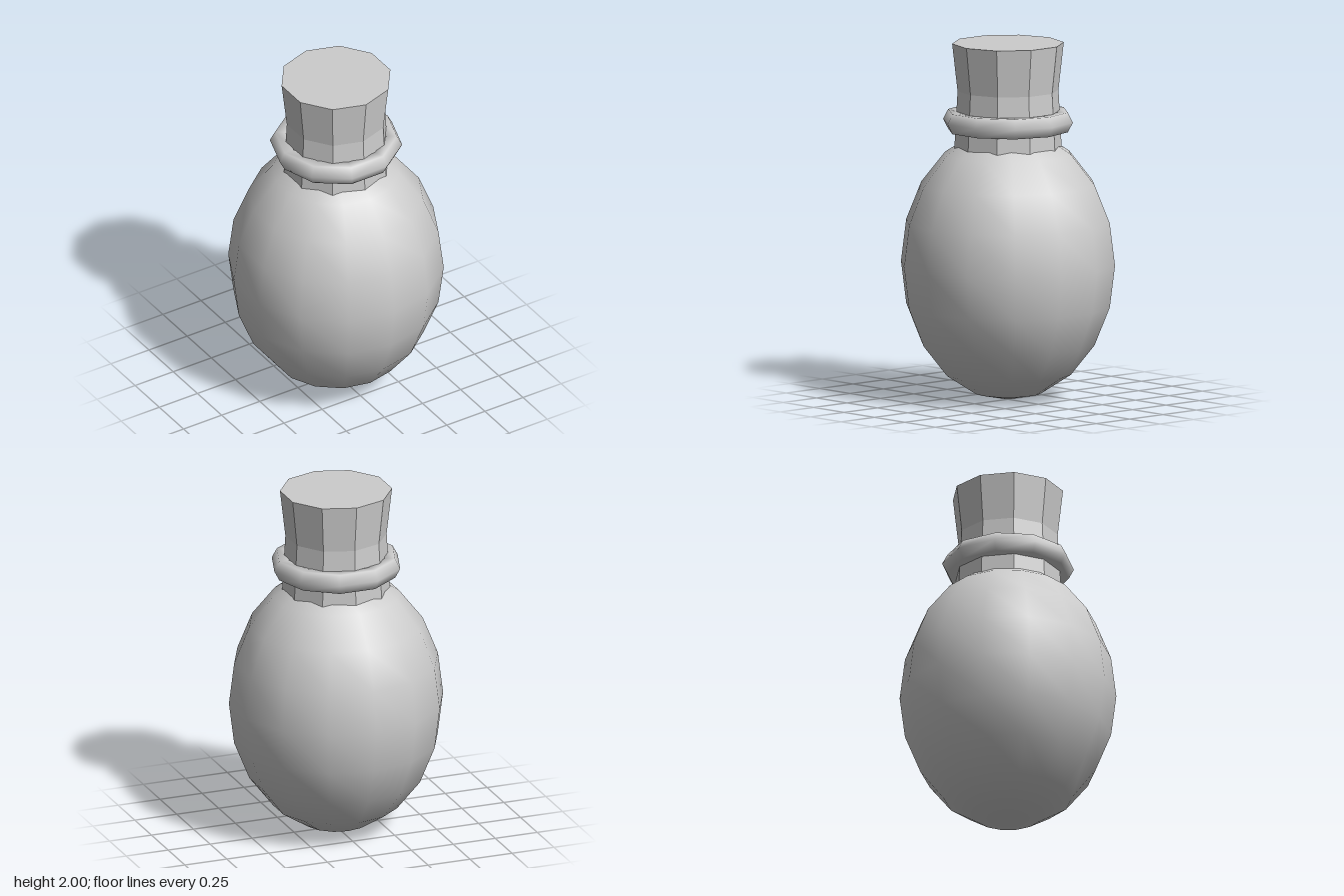
import * as THREE from 'three';

export function createModel() {
  const model = new THREE.Group();
  const grey = new THREE.MeshStandardMaterial({ name: 'plain grey', color: 0xcccccc });
  const flatGrey = grey.clone();
  flatGrey.flatShading = true;

  const add = (name, geometry, material) => {
    const mesh = new THREE.Mesh(geometry, material);
    mesh.name = name;
    model.add(mesh);
    return mesh;
  };

  // Egg-shaped bulb, with corners on the z axis
  const bulb = new THREE.SphereGeometry(0.6, 14, 10);
  bulb.rotateY(Math.PI / 2);
  bulb.scale(1, 0.762 / 0.6, 1);
  bulb.translate(0, 0.767, 0);
  add('bulb', bulb, grey);

  // Ten-sided neck, pinched in the middle and closed at the top
  const profile = [[0, 1.36], [0.302, 1.36], [0.281, 1.735], [0.311, 2], [0, 2]];
  const neck = new THREE.LatheGeometry(profile.map(([r, y]) => new THREE.Vector2(r, y)), 10);
  add('neck', neck, flatGrey);

  // Collar ring, with corners on the x axis
  const collar = new THREE.TorusGeometry(0.309, 0.058, 6, 10);
  collar.rotateX(-Math.PI / 2);
  collar.scale(1, 1.1, 1);
  collar.translate(0, 1.565, 0);
  add('collar', collar, grey);

  return model;
}
